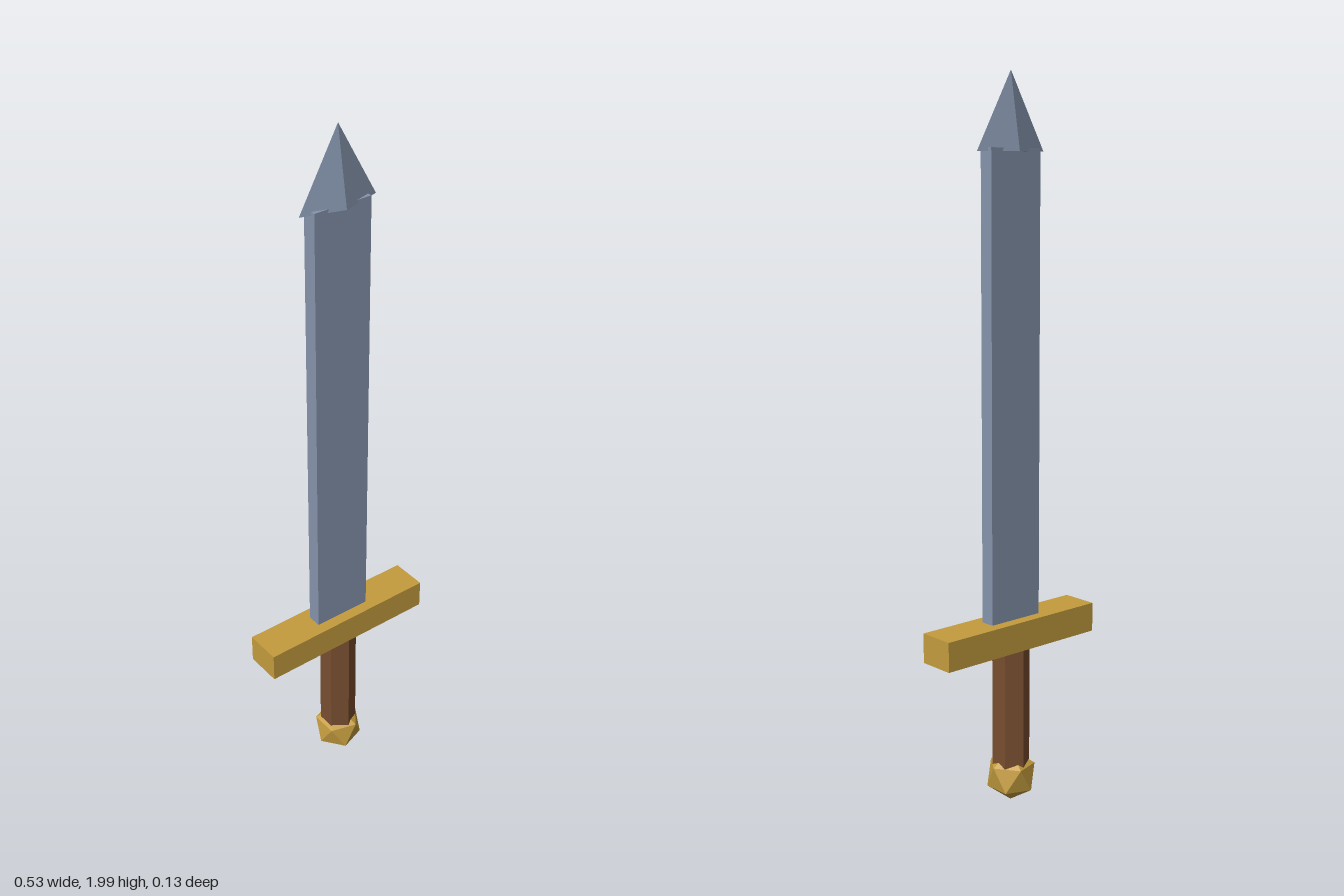
import * as THREE from 'three';

function makeMaterial(name, color) {
  const material = new THREE.MeshStandardMaterial({ color, flatShading: true });
  material.name = name;
  return material;
}

export function createModel() {
  const sword = new THREE.Group();
  sword.name = 'sword';

  const steel = makeMaterial('steel', 0x8694ac);
  const gold = makeMaterial('gold', 0xc49c3e);
  const wood = makeMaterial('wood', 0x784e30);

  function addPart(name, geometry, material, y) {
    const mesh = new THREE.Mesh(geometry, material);
    mesh.name = name;
    mesh.position.y = y;
    sword.add(mesh);
    return mesh;
  }

  // Faceted pommel, turned so that one corner points down
  const pommel = addPart('pommel', new THREE.IcosahedronGeometry(0.0735, 0), gold, 0.0855);
  pommel.rotation.z = -Math.PI / 6;

  // Six-sided grip, with a ridge facing front and back
  addPart('grip', new THREE.CylinderGeometry(0.0525, 0.0525, 0.39, 6), wood, 0.275);

  // Crossguard
  addPart('crossguard', new THREE.BoxGeometry(0.528, 0.082, 0.105), gold, 0.502);

  // Flat blade
  addPart('blade', new THREE.BoxGeometry(0.17, 1.27, 0.041), steel, 1.17);

  // Flattened four-sided point, wider than the blade
  const tip = new THREE.ConeGeometry(0.115, 0.204, 4);
  tip.scale(1, 1, 0.3);
  addPart('tip', tip, steel, 1.898);

  return sword;
}
